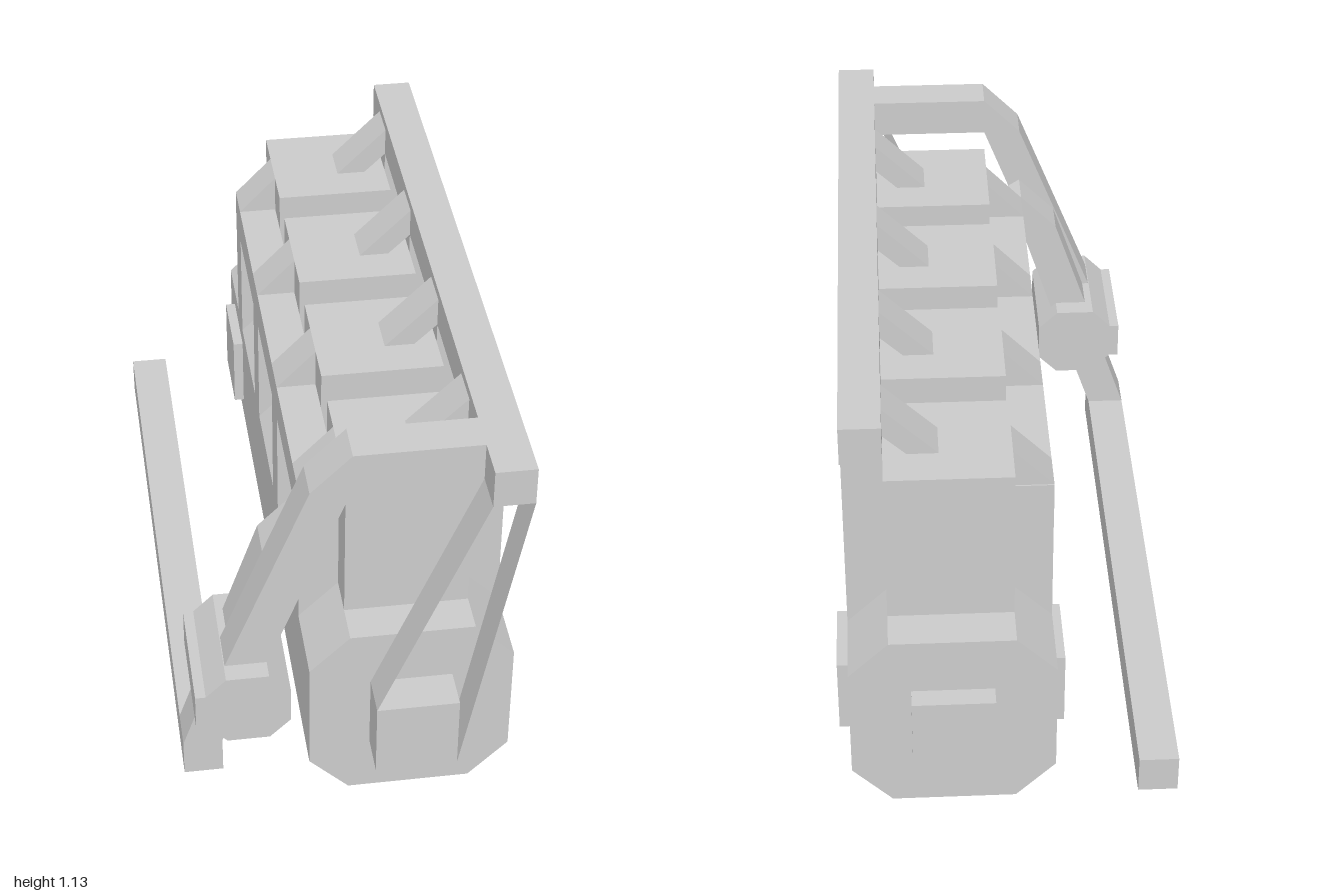
import * as THREE from 'three';

export function createModel() {
  const model = new THREE.Group();
  const grey = new THREE.MeshStandardMaterial({ color: 0xcccccc, flatShading: true });
  const thin = grey.clone();
  thin.side = THREE.DoubleSide;

  function add(name, geometry, material = grey) {
    const mesh = new THREE.Mesh(geometry, material);
    mesh.name = name;
    model.add(mesh);
    return mesh;
  }

  // Box given by its lower and upper limits
  function box(name, x0, x1, y0, y1, z0, z1) {
    const g = new THREE.BoxGeometry(x1 - x0, y1 - y0, z1 - z0);
    g.translate((x0 + x1) / 2, (y0 + y1) / 2, (z0 + z1) / 2);
    return add(name, g);
  }

  // Outline in x and y, extruded from z0 to z1
  function prism(name, points, z0, z1) {
    const shape = new THREE.Shape(points.map(([x, y]) => new THREE.Vector2(x, y)));
    const g = new THREE.ExtrudeGeometry(shape, { depth: z1 - z0, bevelEnabled: false });
    g.translate(0, 0, z0);
    return add(name, g);
  }

  // Flat belt run between two points in x and y
  function beltRun(name, [xa, ya], [xb, yb], z0, z1) {
    const g = new THREE.BufferGeometry();
    g.setAttribute('position', new THREE.Float32BufferAttribute(
      [xa, ya, z0, xa, ya, z1, xb, yb, z1, xb, yb, z0], 3));
    g.setIndex([0, 1, 2, 0, 2, 3]);
    g.computeVertexNormals();
    return add(name, g, thin);
  }

  // Engine block with chamfered corners
  prism('engineBlock', [
    [-0.015, 0], [0.31, 0], [0.415, 0.108], [0.415, 0.435],
    [0.31, 0.54], [-0.015, 0.54], [-0.12, 0.435], [-0.12, 0.108],
  ], -0.945, 0.892);

  // Plates on the ends and sides of the block
  box('frontPulley', 0.04, 0.255, 0.165, 0.38, 0.892, 1);
  box('backPlate', 0.04, 0.255, 0.165, 0.38, -1, -0.945);
  box('leftPlate', 0.415, 0.445, 0.165, 0.38, -0.838, -0.623);
  box('rightPlate', -0.148, -0.12, 0.165, 0.38, -0.838, -0.623);

  // Four cylinders, each with its ports and supports
  for (let i = 0; i < 4; i++) {
    const zc = 0.623 - i * 0.432;
    const a = zc - 0.054;
    const b = zc + 0.054;
    box('cylinder', -0.015, 0.31, 0.54, 0.973, zc - 0.162, zc + 0.162);
    box('intakeColumn', 0.31, 0.415, 0.435, 1.03, a, b);
    box('exhaustColumn', -0.12, -0.015, 0.435, 0.76, a, b);
    prism('exhaustPort', [[-0.12, 0.865], [-0.015, 0.865], [-0.015, 0.973]], a, b);
    prism('intakePort', [[0.17, 0.973], [0.25, 0.973], [0.31, 1.03], [0.31, 1.11]], a, b);
  }

  // Intake rail along the top and its pipe down to the turbo
  box('intakeRail', 0.31, 0.415, 1.03, 1.135, -0.838, 1);
  prism('intakePipe', [
    [0.31, 1.03], [0.31, 1.135], [-0.015, 1.135], [-0.12, 1.03],
    [-0.34, 0.48], [-0.23, 0.48], [-0.015, 1.03],
  ], 0.784, 0.892);

  // Exhaust rail with a mitred front end, outlined in x and z
  const rail = new THREE.Shape([
    [-0.12, 0.731], [-0.015, 0.731], [-0.015, -0.677], [-0.12, -0.784],
  ].reverse().map(([x, z]) => new THREE.Vector2(x, z)));
  const railGeometry = new THREE.ExtrudeGeometry(rail, { depth: 0.105, bevelEnabled: false });
  railGeometry.rotateX(-Math.PI / 2);
  railGeometry.translate(0, 0.76, 0);
  add('exhaustRail', railGeometry);

  // Exhaust pipe into the turbo, then out and along the floor
  prism('exhaustPipe', [
    [-0.12, 0.76], [-0.12, 0.865], [-0.225, 0.76], [-0.325, 0.47], [-0.215, 0.47],
  ], 0.677, 0.784);
  prism('downPipe', [
    [-0.445, 0.108], [-0.34, 0.108], [-0.23, 0.43], [-0.335, 0.43],
  ], 0.677, 0.784);
  box('tailPipe', -0.445, -0.34, 0, 0.108, -0.945, 0.784);

  // Turbo housing
  prism('turbo', [
    [-0.34, 0.27], [-0.23, 0.27], [-0.175, 0.325], [-0.175, 0.432], [-0.23, 0.485],
    [-0.34, 0.485], [-0.393, 0.432], [-0.42, 0.432], [-0.42, 0.325], [-0.393, 0.325],
  ], 0.62, 0.945);

  // Belt between the front pulley and the intake rail
  beltRun('beltRight', [0.04, 0.38], [0.31, 1.03], 0.892, 1);
  beltRun('beltLeft', [0.255, 0.165], [0.415, 1.03], 0.892, 1);

  return model;
}
